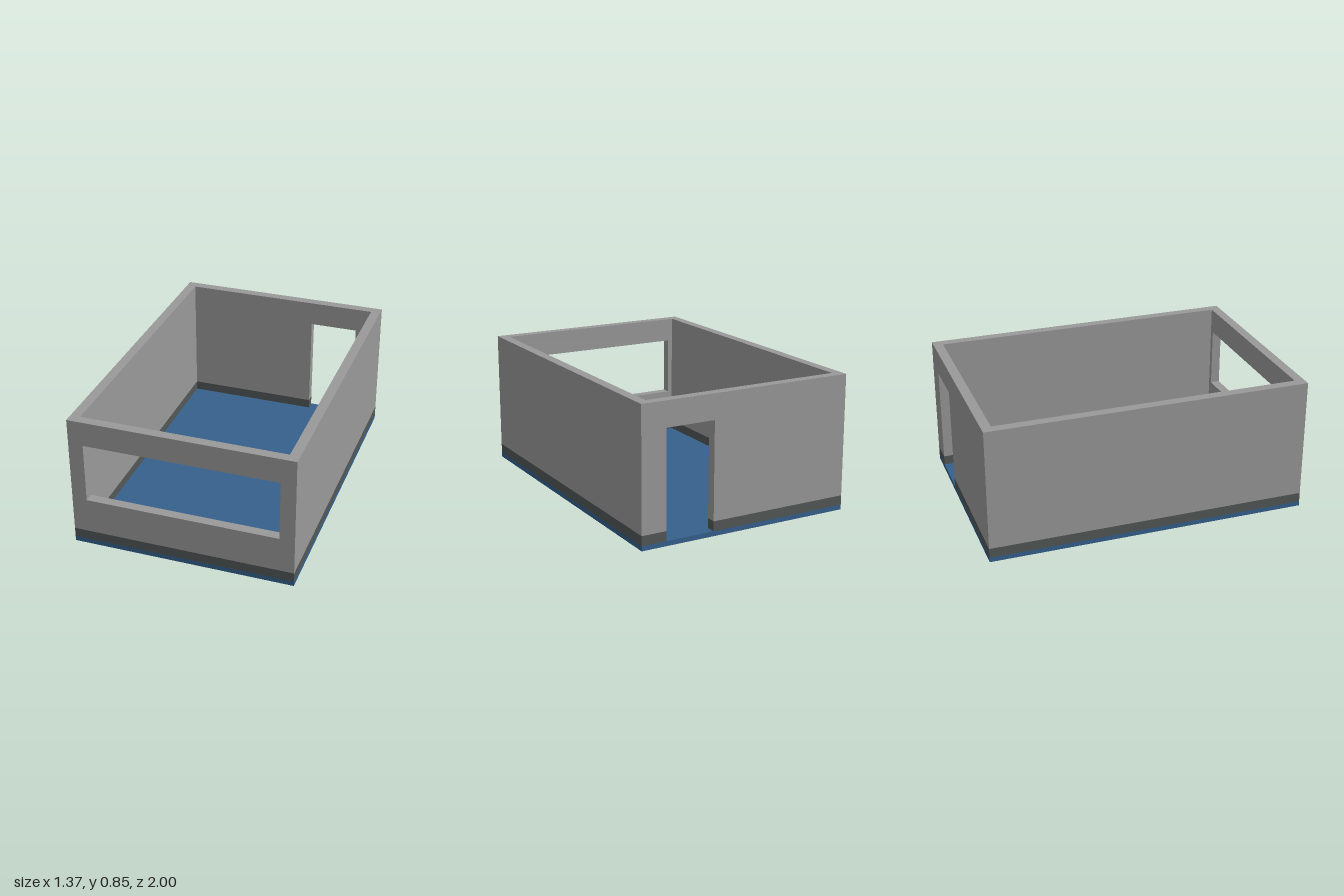
import * as THREE from 'three';

const W = 0.687, L = 1, T = 0.06;             // half width, half length, wall thickness
const FLOOR = 0.03, BASE = 0.09, TOP = 0.845; // heights of slab, plinth and walls
const DOOR = [0.22, 0.53], HEAD = 0.69;       // door sides, height of door and window heads

const polygon = (points) => new THREE.Shape(points.map(([x, y]) => new THREE.Vector2(x, y)));
const extrude = (shape, depth) => new THREE.ExtrudeGeometry(shape, { depth, bevelEnabled: false });

export function createModel() {
  const model = new THREE.Group();
  model.name = 'roomShell';

  const material = (name, color) => {
    const m = new THREE.MeshStandardMaterial({ color });
    m.name = name;
    return m;
  };
  const wallGrey = material('wallGrey', 0x999999);
  const plinthGrey = material('plinthGrey', 0x525756);
  const floorBlue = material('floorBlue', 0x35608c);

  const add = (name, geometry, mat, x = 0, y = 0, z = 0) => {
    const mesh = new THREE.Mesh(geometry, mat);
    mesh.name = name;
    mesh.position.set(x, y, z);
    model.add(mesh);
  };

  // Floor slab
  add('floorSlab', new THREE.BoxGeometry(2 * W, FLOOR, 2 * L), floorBlue, 0, FLOOR / 2, 0);

  // Plinth: one band around the plan, open at the door in the back
  const [d0, d1] = DOOR, iw = W - T, il = L - T;
  const plan = polygon([
    [d0, L], [-W, L], [-W, -L], [W, -L], [W, L], [d1, L],
    [d1, il], [iw, il], [iw, -il], [-iw, -il], [-iw, il], [d0, il],
  ]);
  add('plinth', extrude(plan, BASE - FLOOR).rotateX(-Math.PI / 2), plinthGrey, 0, FLOOR, 0);

  // Side walls
  for (const [name, side] of [['leftWall', 1], ['rightWall', -1]]) {
    add(name, new THREE.BoxGeometry(T, TOP - BASE, 2 * il), wallGrey,
      side * (W - T / 2), (TOP + BASE) / 2, 0);
  }

  // Front wall with a wide window opening
  const front = polygon([[-W, BASE], [W, BASE], [W, TOP], [-W, TOP]]);
  front.holes.push(polygon([[-0.595, 0.312], [-0.595, HEAD], [0.595, HEAD], [0.595, 0.312]]));
  add('frontWall', extrude(front, T), wallGrey, 0, 0, il);

  // Back wall with the doorway
  const back = polygon([
    [-W, BASE], [d0, BASE], [d0, HEAD], [d1, HEAD], [d1, BASE], [W, BASE], [W, TOP], [-W, TOP],
  ]);
  add('backWall', extrude(back, T), wallGrey, 0, 0, -L);

  return model;
}
